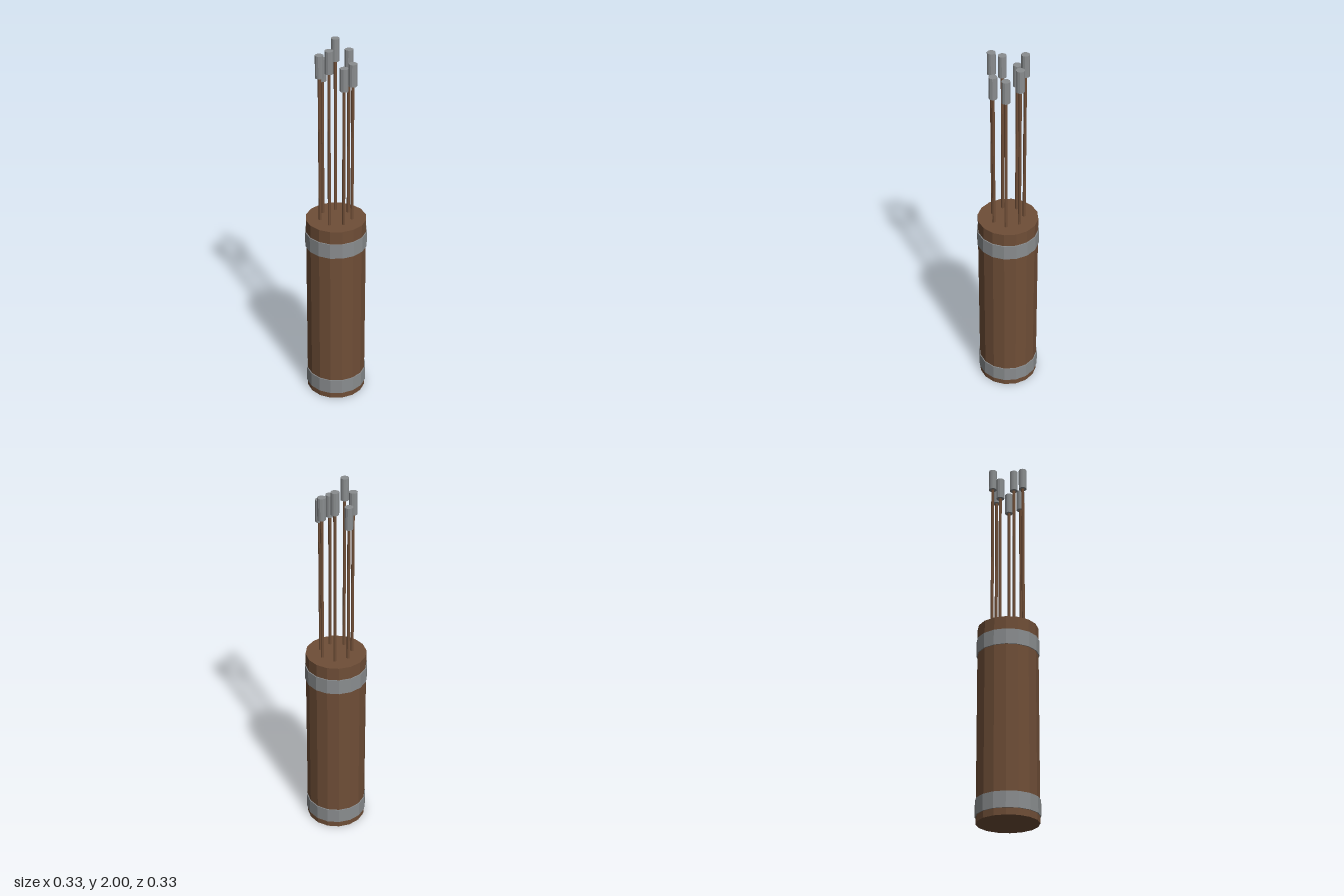
import * as THREE from 'three';

export function createModel() {
  const model = new THREE.Group();
  const brown = new THREE.MeshStandardMaterial({ color: 0x6f4e37 });
  brown.name = 'brown';
  const grey = new THREE.MeshStandardMaterial({ color: 0x8a8d8f });
  grey.name = 'grey';

  // Upright faceted cylinder from y = bottom to y = top
  const post = (name, material, radius, sides, bottom, top, x = 0, z = 0) => {
    let geometry = new THREE.CylinderGeometry(radius, radius, top - bottom, sides);
    geometry = geometry.toNonIndexed();
    geometry.computeVertexNormals(); // flat facets
    const mesh = new THREE.Mesh(geometry, material);
    mesh.name = name;
    mesh.position.set(x, (bottom + top) / 2, z);
    model.add(mesh);
  };

  // Body with its two bands
  const bodyTop = 1.047;
  post('body', brown, 0.158, 16, 0, bodyTop);
  post('lowerBand', grey, 0.163, 16, 0.035, 0.118);
  post('upperBand', grey, 0.163, 16, 0.893, 0.976);

  // Ring of seven stems in three repeating heights, each with a tip
  for (let i = 0; i < 7; i++) {
    const angle = (i / 7) * Math.PI * 2;
    const x = Math.cos(angle) * 0.084;
    const z = -Math.sin(angle) * 0.084;
    const top = 1.908 + (i % 3) * 0.046;
    post('stem', brown, 0.008, 8, bodyTop - 0.02, top - 0.1, x, z);
    post('tip', grey, 0.0215, 12, top - 0.117, top, x, z);
  }
  return model;
}
